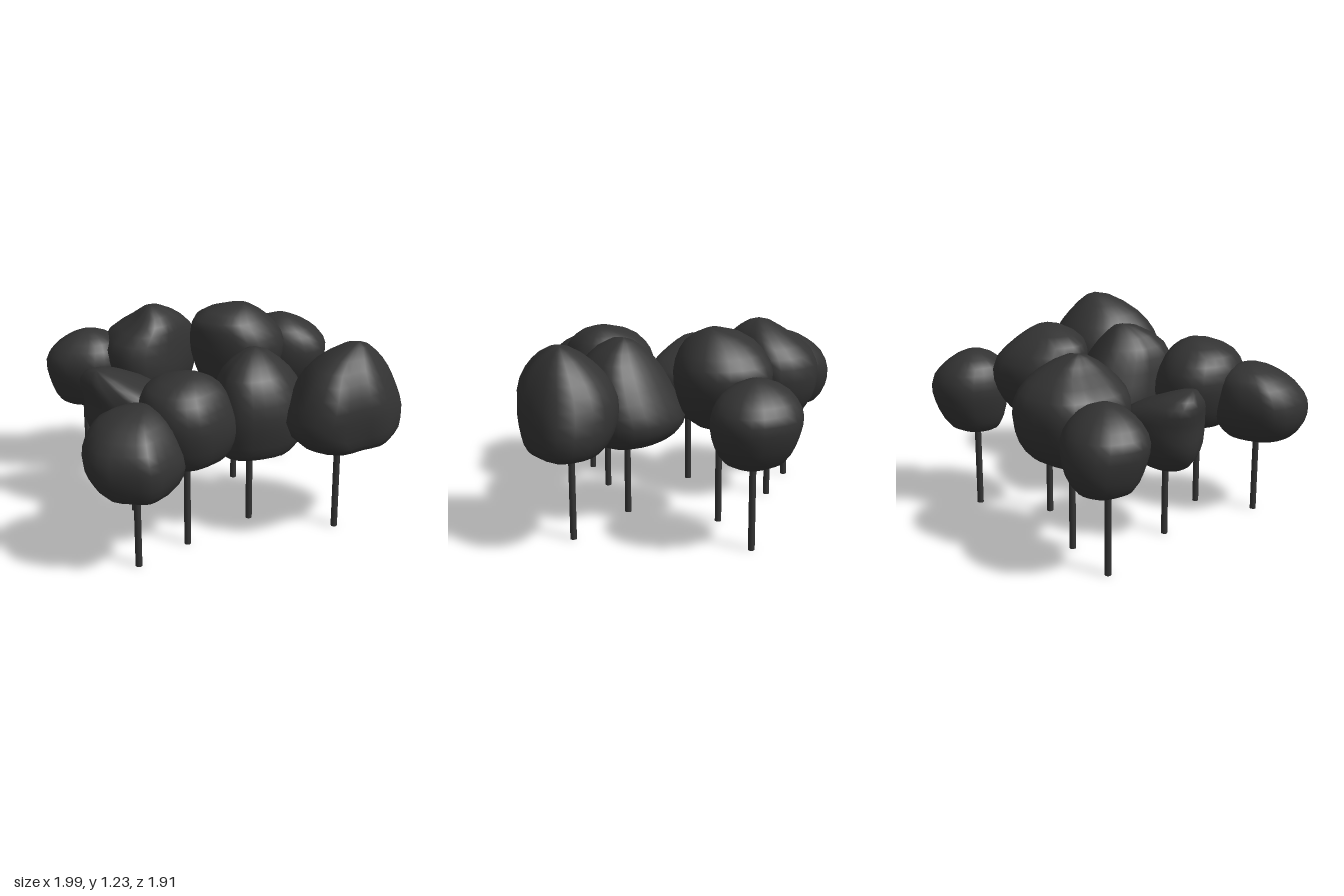
import * as THREE from 'three';

const material = new THREE.MeshStandardMaterial({ color: 0x333333 });
const SIDES = 24, STEPS = 14;

// Plan outline from 12 radii (from +x turning to +z), rounded and scaled to a unit square
function planOutline(radii) {
  const pts = radii.map((r, i) => {
    const a = i * Math.PI / 6;
    return new THREE.Vector3(r * Math.cos(a), 0, r * Math.sin(a));
  });
  const curve = new THREE.CatmullRomCurve3(pts, true);
  const ring = [];
  for (let j = 0; j < SIDES; j++) ring.push(curve.getPoint(j / SIDES));
  const box = new THREE.Box3().setFromPoints(ring);
  const size = box.getSize(new THREE.Vector3());
  return ring.map(p => [(p.x - box.min.x) / size.x, (p.z - box.min.z) / size.z]);
}

// Crown: the plan outline fitted to the extents [y, x0, x1, z0, z1] of each level,
// with smooth meridians running through the bottom and top poles
function crownGeometry(radii, levels, bottom, top) {
  const outline = planOutline(radii);
  const at = (j, [y, x0, x1, z0, z1]) => {
    const [u, v] = outline[j % SIDES];
    return new THREE.Vector3(x0 + u * (x1 - x0), y, z0 + v * (z1 - z0));
  };
  const low = new THREE.Vector3(...bottom), high = new THREE.Vector3(...top);
  const meridians = [];
  for (let j = 0; j < SIDES; j++) {
    const near = levels.map(l => at(j, l));
    const far = levels.map(l => at(j + SIDES / 2, l)).reverse();
    meridians.push(new THREE.CatmullRomCurve3([low, ...near, high, ...far], true, 'centripetal'));
  }
  const pos = [...bottom], index = [];
  for (let i = 1; i < STEPS; i++)
    for (const m of meridians) pos.push(...m.getPoint(0.5 * i / STEPS).toArray());
  pos.push(...top);
  const last = pos.length / 3 - 1;
  const id = (i, j) => i === 0 ? 0 : i === STEPS ? last : 1 + (i - 1) * SIDES + j % SIDES;
  // the bottom fan is made of (a, b, c), the top fan of (a, c, d)
  for (let i = 0; i < STEPS; i++) {
    for (let j = 0; j < SIDES; j++) {
      const a = id(i, j), b = id(i + 1, j), c = id(i + 1, j + 1), d = id(i, j + 1);
      if (i < STEPS - 1) index.push(a, b, c);
      if (i > 0) index.push(a, c, d);
    }
  }
  const geo = new THREE.BufferGeometry();
  geo.setAttribute('position', new THREE.Float32BufferAttribute(pos, 3));
  geo.setIndex(index);
  geo.computeVertexNormals();
  return geo;
}

// One tree: a thin straight trunk carrying a lumpy crown
function tree(name, x, z, bottom, top, radii, levels) {
  const group = new THREE.Group();
  group.name = name;
  const height = bottom + 0.1;
  const trunk = new THREE.Mesh(new THREE.CylinderGeometry(0.02, 0.02, height, 10), material);
  trunk.position.set(x, height / 2, z);
  trunk.name = 'trunk';
  const crown = new THREE.Mesh(crownGeometry(radii, levels, [x, bottom, z], top), material);
  crown.name = 'crown';
  group.add(trunk, crown);
  return group;
}

export function createModel() {
  const model = new THREE.Group();
  model.name = 'grove';
  model.add(
    // Back row
    tree('backRightTree', -0.655, -0.675, 0.51, [-0.62, 1.02, -0.66],
      [.24, .24, .25, .24, .22, .24, .25, .25, .28, .28, .27, .26],
      [[.54, -.81, -.52, -.87, -.54], [.68, -.88, -.44, -.95, -.46],
        [.84, -.9, -.4, -.93, -.44], [.96, -.79, -.46, -.81, -.51]]),
    tree('backMiddleTree', -0.26, -0.56, 0.53, [-0.25, 1.19, -0.49],
      [.32, .25, .25, .29, .34, .30, .25, .27, .31, .31, .34, .33],
      [[.58, -.43, -.03, -.74, -.35], [.74, -.51, .06, -.85, -.26],
        [.95, -.54, .07, -.85, -.26], [1.1, -.37, -.04, -.69, -.33]]),
    tree('backLeftTree', 0.665, -0.48, 0.52, [0.66, 1.04, -0.49],
      [.29, .28, .26, .21, .19, .19, .23, .24, .27, .28, .28, .27],
      [[.55, .5, .83, -.65, -.33], [.7, .44, .93, -.74, -.25],
        [.85, .43, .95, -.76, -.24], [.97, .48, .84, -.68, -.31]]),
    // Middle trees
    tree('innerLeftTree', 0.235, -0.265, 0.6, [0.28, 1.23, -0.22],
      [.31, .31, .29, .28, .25, .25, .28, .28, .31, .32, .34, .31],
      [[.67, .06, .41, -.43, -.08], [.82, -.02, .52, -.55, -.01],
        [1, -.05, .55, -.58, .01], [1.15, -.02, .43, -.46, -.06]]),
    tree('innerRightTree', -0.52, -0.025, 0.43, [-0.73, 0.97, -0.04],
      [.26, .24, .24, .22, .19, .21, .24, .32, .33, .32, .33, .28],
      [[.48, -.7, -.37, -.17, .14], [.6, -.78, -.29, -.26, .21],
        [.76, -.79, -.26, -.3, .24], [.9, -.81, -.5, -.24, .11]]),
    tree('centreTree', 0.125, 0.31, 0.48, [0.15, 1.14, 0.32],
      [.37, .33, .33, .32, .33, .28, .23, .25, .29, .38, .355, .36],
      [[.51, -.09, .42, .05, .56], [.63, -.13, .5, -.05, .61],
        [.82, -.12, .46, .02, .63], [1.02, -.06, .34, .15, .55]]),
    // Front row
    tree('frontMiddleTree', -0.34, 0.5, 0.53, [-0.3, 1.1, 0.52],
      [.27, .28, .26, .28, .29, .28, .28, .28, .31, .30, .28, .26],
      [[.58, -.54, -.13, .29, .7], [.73, -.61, -.06, .21, .77],
        [.9, -.62, -.09, .2, .78], [1.03, -.56, -.15, .3, .7]]),
    tree('frontRightTree', -0.69, 0.655, 0.49, [-0.63, 0.98, 0.62],
      [.26, .28, .26, .29, .28, .32, .31, .30, .25, .25, .27, .27],
      [[.51, -.88, -.52, .5, .89], [.64, -.98, -.43, .4, .95],
        [.78, -.98, -.46, .38, .94], [.92, -.87, -.52, .43, .81]]),
    tree('frontLeftTree', 0.585, 0.585, 0.57, [0.68, 1.21, 0.62],
      [.41, .33, .31, .29, .38, .40, .33, .30, .28, .29, .32, .38],
      [[.6, .37, .95, .39, .84], [.73, .22, 1, .31, .91],
        [.92, .27, .94, .31, .92], [1.1, .4, .83, .44, .81]]),
  );
  return model;
}
